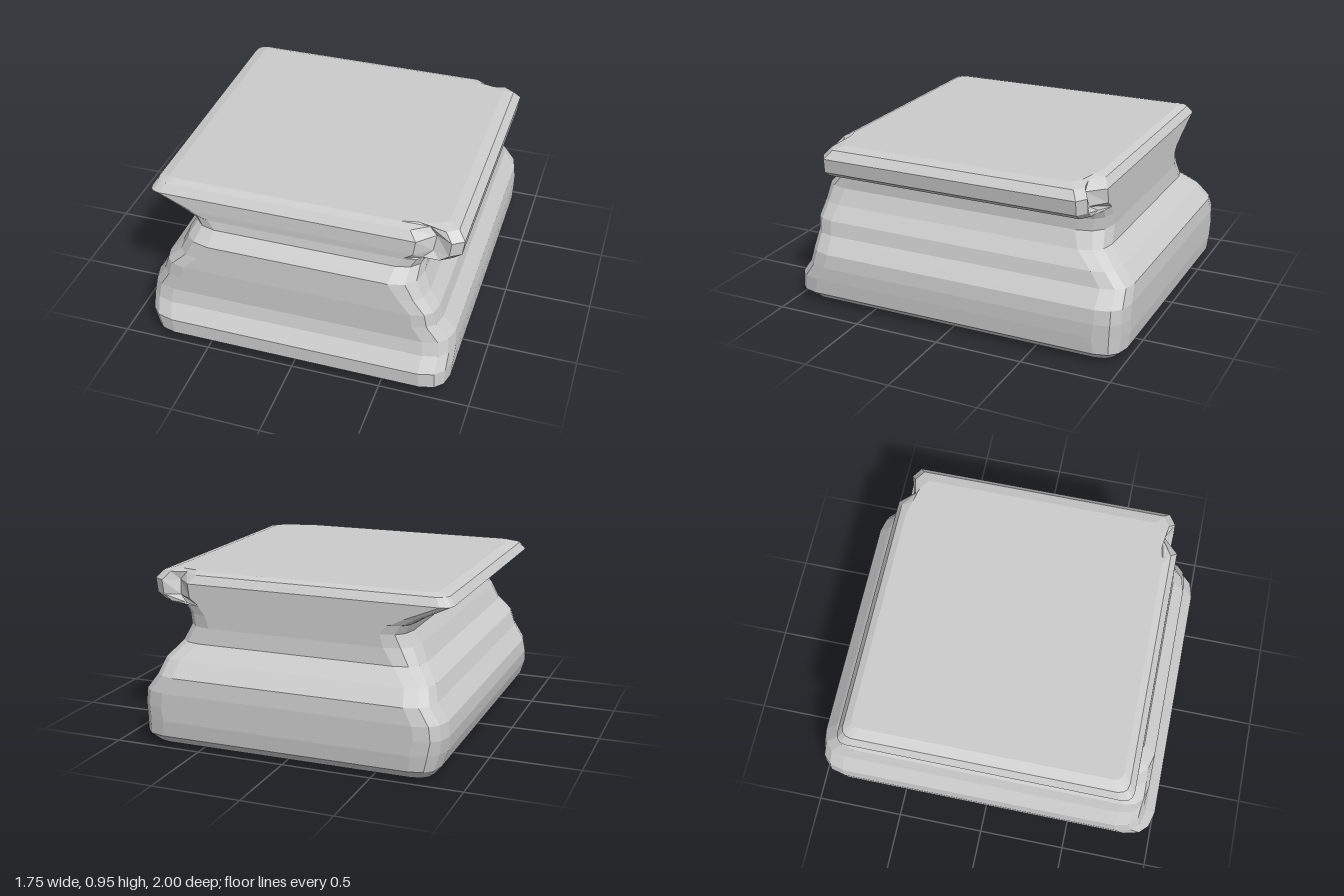
import * as THREE from 'three';

// Levels from bottom to top: y, left wall (-x), right wall (+x), back (-z), front (+z), corner cut, notch
const LEVELS = [
  [0.00, -0.77, 0.77, -0.90, 0.90, 0.08, 0],
  [0.01, -0.80, 0.81, -0.94, 0.94, 0.10, 0],
  [0.06, -0.84, 0.865, -0.99, 1.00, 0.14, 0],
  [0.15, -0.87, 0.87, -1.00, 1.00, 0.16, 0],
  [0.23, -0.88, 0.87, -1.00, 0.94, 0.15, 0],
  [0.31, -0.87, 0.86, -1.00, 0.92, 0.15, 0],
  [0.40, -0.81, 0.79, -0.99, 0.92, 0.14, 0],
  [0.48, -0.78, 0.77, -0.92, 0.92, 0.13, 0],
  [0.56, -0.70, 0.71, -0.83, 0.915, 0.14, 0],
  [0.65, -0.66, 0.67, -0.82, 0.91, 0.16, 0],
  [0.72, -0.62, 0.67, -0.82, 0.84, 0.14, 0],
  [0.77, -0.64, 0.69, -0.82, 0.83, 0.12, 0],
  [0.775, -0.65, 0.81, -0.82, 0.83, 0.11, 0.04],
  [0.81, -0.70, 0.86, -0.82, 0.83, 0.09, 0.07],
  [0.89, -0.86, 0.87, -0.82, 0.825, 0.06, 0.09],
  [0.935, -0.83, 0.83, -0.79, 0.79, 0.06, 0.06],
  [0.95, -0.77, 0.77, -0.75, 0.75, 0.05, 0.02],
];

// One closed cross-section: four faceted corners, with notches in the right corners of the slab
function ring([y, left, right, back, front, r, notch]) {
  const points = [];
  [[1, 1], [-1, 1], [-1, -1], [1, -1]].forEach(([sx, sz], k) => {
    const x = sx > 0 ? right : left;
    const z = sz > 0 ? front : back;
    const cut = sx > 0 && notch > 0
      ? [[0, 0.08], [0.06, 0.04], [0.15, notch], [0.24, 0]]
      : [[0, r], [0.14 * r, 0.45 * r], [0.45 * r, 0.14 * r], [r, 0]];
    if (k % 2) cut.reverse();
    cut.forEach(([dx, dz]) => points.push([x - sx * dx, y, z - sz * dz]));
  });
  return points;
}

// Joins the cross-sections and closes both ends
function loft(rings) {
  const n = rings[0].length;
  const position = rings.flat(2);
  const index = [];
  for (let j = 0; j < rings.length - 1; j++) {
    for (let i = 0; i < n; i++) {
      const a = j * n + i, b = j * n + (i + 1) % n;
      index.push(a, a + n, b + n, a, b + n, b);
    }
  }
  const bottom = rings.length * n, top = bottom + 1;
  position.push(0, rings[0][0][1], 0, 0, rings.at(-1)[0][1], 0);
  for (let i = 0; i < n; i++) {
    const next = (i + 1) % n, last = bottom - n;
    index.push(bottom, i, next, top, last + next, last + i);
  }
  const geometry = new THREE.BufferGeometry();
  geometry.setAttribute('position', new THREE.Float32BufferAttribute(position, 3));
  geometry.setIndex(index);
  geometry.computeVertexNormals();
  return geometry;
}

export function createModel() {
  const group = new THREE.Group();
  group.name = 'pedestal';
  const material = new THREE.MeshStandardMaterial({ color: 0xcccccc, flatShading: true });

  // Moulded base, narrow neck and overhanging slab in one carved block
  const block = new THREE.Mesh(loft(LEVELS.map(ring)), material);
  block.name = 'carvedBlock';
  group.add(block);
  return group;
}
